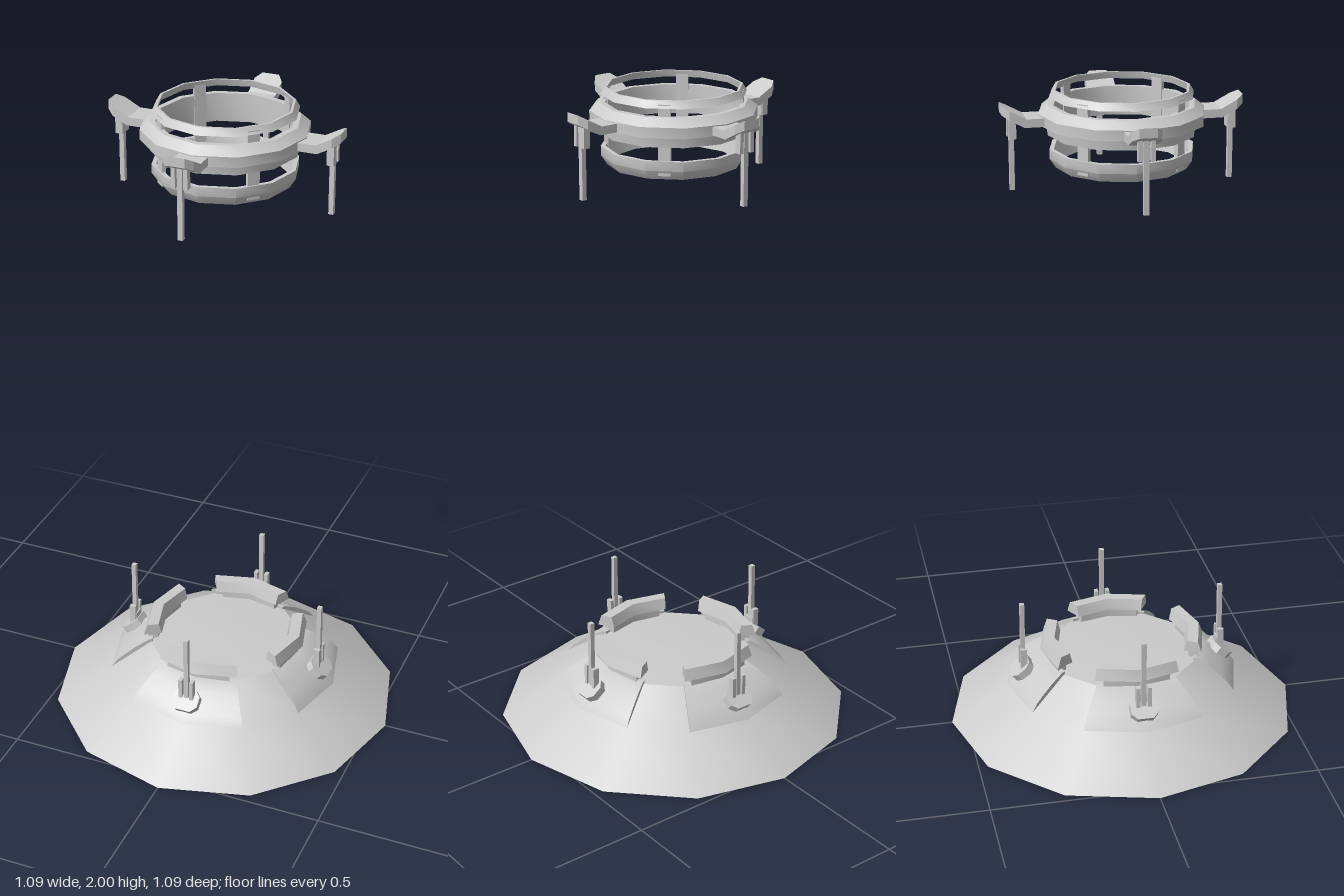
import * as THREE from 'three';
import { mergeGeometries, toCreasedNormals } from 'three/addons/utils/BufferGeometryUtils.js';

const mat = new THREE.MeshStandardMaterial({ color: 0xcccccc });
const thin = new THREE.MeshStandardMaterial({ color: 0xcccccc, side: THREE.DoubleSide });
const SIDES = 12;
const rad = THREE.MathUtils.degToRad;
const pts = (list) => list.map(([r, y]) => new THREE.Vector2(r, y));

function add(parent, name, geometry, material = mat) {
  const mesh = new THREE.Mesh(geometry, material);
  mesh.name = name;
  parent.add(mesh);
  return mesh;
}

function box(parent, name, w, h, d, x, y, z) {
  const mesh = add(parent, name, new THREE.BoxGeometry(w, h, d));
  mesh.position.set(x, y, z);
  return mesh;
}

// Full twelve-sided ring from a closed (radius, height) section
function ring(section) {
  const closed = pts([...section, section[0]]);
  return toCreasedNormals(new THREE.LatheGeometry(closed, SIDES), 0.6);
}

// Two-facet arc centred on +z, with the section closing both ends
function arc(section, halfAngle) {
  const closed = pts([...section, section[0]]);
  const parts = [new THREE.LatheGeometry(closed, 2, -halfAngle, halfAngle * 2)];
  for (const a of [-halfAngle, halfAngle]) {
    const cap = new THREE.ShapeGeometry(new THREE.Shape(pts(section)));
    cap.rotateY(a - Math.PI / 2);
    parts.push(cap);
  }
  return toCreasedNormals(mergeGeometries(parts), 0.6);
}

// Chamfered plate, extruded along z and centred
function chamferPlate(w, h, c, depth) {
  const x = w / 2, y = h / 2;
  const shape = new THREE.Shape(pts([
    [-x + c, -y], [x - c, -y], [x, -y + c], [x, y - c],
    [x - c, y], [-x + c, y], [-x, y - c], [-x, -y + c],
  ]));
  const g = new THREE.ExtrudeGeometry(shape, { depth, bevelEnabled: false });
  return g.translate(0, 0, -depth / 2);
}

// Upswept paddle with clipped outer corners, pointing along +z
function paddleGeometry() {
  const w = 0.084;
  const shape = new THREE.Shape(pts([
    [0.2, 1.908], [0.283, 1.908], [0.325, 1.93], [0.345, 1.942],
    [0.345, 1.969], [0.325, 1.957], [0.278, 1.932], [0.2, 1.932],
  ]));
  const g = new THREE.ExtrudeGeometry(shape, { depth: w, bevelEnabled: false });
  g.translate(0, 0, -w / 2).rotateY(-Math.PI / 2);
  const p = g.attributes.position;
  for (let i = 0; i < p.count; i++) if (p.getZ(i) > 0.34) p.setX(i, p.getX(i) * 0.6);
  g.computeVertexNormals();
  return g;
}

// Rod with a three-pronged clamp around its inner end
function rod(parent, y0, y1, clampY0, clampY1) {
  const r = 0.316;
  box(parent, 'rod', 0.015, y1 - y0, 0.014, 0, (y0 + y1) / 2, r);
  for (const s of [-1, 1]) {
    box(parent, 'clampProng', 0.012, clampY1 - clampY0, 0.02, s * 0.018, (clampY0 + clampY1) / 2, r);
  }
  box(parent, 'clampBack', 0.04, (clampY1 - clampY0) * 0.6, 0.008, 0,
    clampY0 + (clampY1 - clampY0) * 0.3, r - 0.008);
}

function baseQuarter() {
  const g = new THREE.Group();
  g.name = 'baseQuarter';
  // raised slope panel
  add(g, 'raisedPanel', arc([
    [0.367, 0.116], [0.35, 0.139], [0.325, 0.159], [0.29, 0.184], [0.245, 0.209],
    [0.235, 0.209], [0.235, 0.195], [0.245, 0.194],
  ], rad(30)), thin);
  // rim segment on a narrower plinth
  add(g, 'rimPlinth', arc([[0.215, 0.2], [0.247, 0.2], [0.247, 0.232], [0.215, 0.232]], rad(25)), thin);
  add(g, 'rimSegment', arc([[0.205, 0.23], [0.262, 0.23], [0.25, 0.265], [0.215, 0.265]], rad(30)), thin);
  // tilted foot pad
  const pad = add(g, 'footPad', chamferPlate(0.084, 0.07, 0.018, 0.036));
  pad.rotation.x = -rad(52);
  pad.position.set(0, 0.165, 0.316);
  rod(g, 0.16, 0.395, 0.17, 0.245);
  return g;
}

function crownQuarter() {
  const g = new THREE.Group();
  g.name = 'crownQuarter';
  add(g, 'paddle', paddleGeometry());
  rod(g, 1.722, 1.94, 1.872, 1.935);
  // upright joining the rings, on the diagonal
  const post = box(g, 'ringPost', 0.035, 0.2, 0.012, 0.135, 1.89, 0.135);
  post.rotation.y = Math.PI / 4;
  return g;
}

export function createModel() {
  const model = new THREE.Group();
  model.name = 'model';

  const base = new THREE.Group();
  base.name = 'base';
  model.add(base);
  add(base, 'skirt', new THREE.LatheGeometry(pts([[0.545, 0], [0.367, 0.116], [0.24, 0.2]]), SIDES), thin);
  add(base, 'skirtTop', new THREE.LatheGeometry(pts([[0.24, 0.2], [0.12, 0.205], [0, 0.206]]), SIDES), thin);

  const crown = new THREE.Group();
  crown.name = 'crown';
  model.add(crown);
  add(crown, 'topRing', ring([[0.194, 1.98], [0.208, 1.98], [0.196, 2], [0.189, 2]]));
  add(crown, 'middleRing', ring([
    [0.195, 1.873], [0.212, 1.873], [0.216, 1.905], [0.239, 1.905],
    [0.239, 1.935], [0.212, 1.957], [0.195, 1.957],
  ]));
  add(crown, 'bottomRing', ring([[0.182, 1.778], [0.19, 1.778], [0.208, 1.805], [0.208, 1.832], [0.195, 1.832]]));

  // four-way repeat
  for (let k = 0; k < 4; k++) {
    for (const [parent, quarter] of [[base, baseQuarter()], [crown, crownQuarter()]]) {
      quarter.rotation.y = k * Math.PI / 2;
      parent.add(quarter);
    }
  }
  return model;
}
